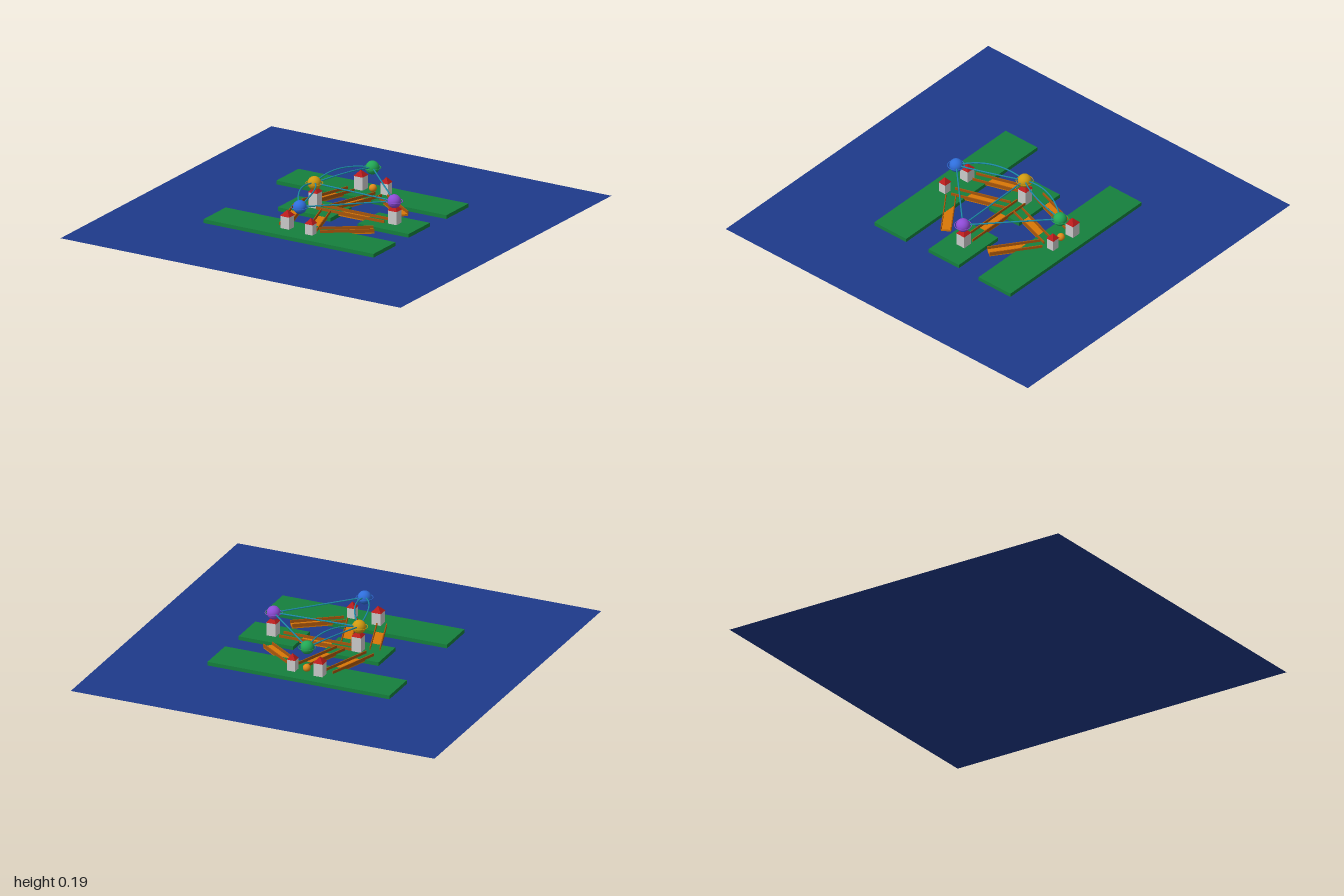
import * as THREE from 'three';

const mat = (color, extra = {}) => new THREE.MeshStandardMaterial({ color, ...extra });

export function createModel() {
  const root = new THREE.Group();
  const water = mat(0x1e3a8a, { side: THREE.DoubleSide });
  const grass = mat(0x15803d), timber = mat(0xd97706), railWood = mat(0xa8560c);
  const wall = mat(0xcccccc), roofRed = mat(0xb91c1c, { flatShading: true });
  const cord = mat(0x1c8aa8);

  const add = (parent, name, geo, material, x = 0, y = 0, z = 0) => {
    const m = new THREE.Mesh(geo, material);
    m.name = name;
    m.position.set(x, y, z);
    parent.add(m);
    return m;
  };

  // River
  add(root, 'water', new THREE.PlaneGeometry(2, 2), water).rotation.x = -Math.PI / 2;

  // Two banks and two islands: centre x, centre z, width, depth
  for (const [name, x, z, w, d] of [
    ['backBank', 0, -0.345, 1, 0.21], ['frontBank', 0, 0.345, 1, 0.21],
    ['largeIsland', -0.125, 0, 0.31, 0.2], ['smallIsland', 0.34, 0, 0.3, 0.2],
  ]) add(root, name, new THREE.BoxGeometry(w, 0.02, d), grass, x, 0.02, z);

  // Bridges: deck just below land level, with a rail along each side
  function bridge(x0, z0, x1, z1) {
    const g = new THREE.Group();
    g.name = 'bridge';
    const len = Math.hypot(x1 - x0, z1 - z0);
    add(g, 'deck', new THREE.BoxGeometry(len, 0.01, 0.05), timber, 0, 0.024, 0);
    for (const s of [-1, 1])
      add(g, 'rail', new THREE.BoxGeometry(len, 0.018, 0.005), railWood, 0, 0.035, s * 0.025);
    g.position.set((x0 + x1) / 2, 0, (z0 + z1) / 2);
    g.rotation.y = -Math.atan2(z1 - z0, x1 - x0);
    root.add(g);
  }
  for (const s of [-1, 1]) {
    bridge(-0.107, s * 0.315, -0.2, s * 0.03);
    bridge(0.055, s * 0.315, -0.04, s * 0.03);
    bridge(0.09, s * 0.3, 0.31, s * 0.14);
  }
  bridge(-0.1, 0, 0.3, 0);

  // Houses: x, z, width, wall height, roof height
  for (const [x, z, w, h, r] of [
    [-0.077, -0.36, 0.05, 0.07, 0.03], [0.073, -0.36, 0.042, 0.06, 0.03],
    [-0.077, 0.337, 0.05, 0.065, 0.03], [0.073, 0.355, 0.042, 0.055, 0.03],
    [-0.125, -0.005, 0.05, 0.08, 0.03], [0.343, -0.005, 0.05, 0.07, 0.03],
  ]) {
    const g = new THREE.Group();
    g.name = 'house';
    g.position.set(x, 0.03, z);
    add(g, 'walls', new THREE.BoxGeometry(w, h, w), wall, 0, h / 2, 0);
    const roof = new THREE.ConeGeometry(w * 0.78, r, 4);
    add(g, 'roof', roof, roofRed, 0, h + r / 2, 0).rotation.y = Math.PI / 4;
    root.add(g);
  }

  // Floating marker balls above each piece of land, each with a thin ring
  const P = (x, y, z) => new THREE.Vector3(x, y, z);
  const back = P(0, 0.16, -0.345), front = P(0, 0.155, 0.343);
  const west = P(-0.127, 0.157, 0), east = P(0.343, 0.147, 0);
  for (const [name, p, color] of [
    ['backMarker', back, 0x22a855], ['frontMarker', front, 0x2f6fdc],
    ['largeIslandMarker', west, 0xd19a10], ['smallIslandMarker', east, 0x8e4bd6],
  ]) {
    const m = mat(color);
    add(root, name, new THREE.SphereGeometry(0.035, 24, 16), m, p.x, p.y, p.z);
    const ring = new THREE.TorusGeometry(0.043, 0.002, 6, 32).rotateX(Math.PI / 2);
    add(root, name + 'Ring', ring, m, p.x, p.y, p.z);
  }

  // Cords between the markers: doubled ones bow sideways and upwards
  function link(a, b, bow = 0) {
    const mid = a.clone().add(b).multiplyScalar(0.5);
    const side = P(b.z - a.z, 0, a.x - b.x).normalize();
    mid.addScaledVector(side, bow);
    if (bow) mid.y += 0.05;
    const curve = new THREE.QuadraticBezierCurve3(a, mid, b);
    add(root, 'cord', new THREE.TubeGeometry(curve, bow ? 24 : 1, 0.004, 8), cord);
  }
  for (const bank of [back, front]) {
    link(bank, west, 0.07);
    link(bank, west, -0.07);
    link(bank, east);
  }
  link(west, east);

  // Small walker ball on the back bank
  add(root, 'walker', new THREE.SphereGeometry(0.02, 20, 14), mat(0xe08a1a), 0, 0.05, -0.35);

  return root;
}
